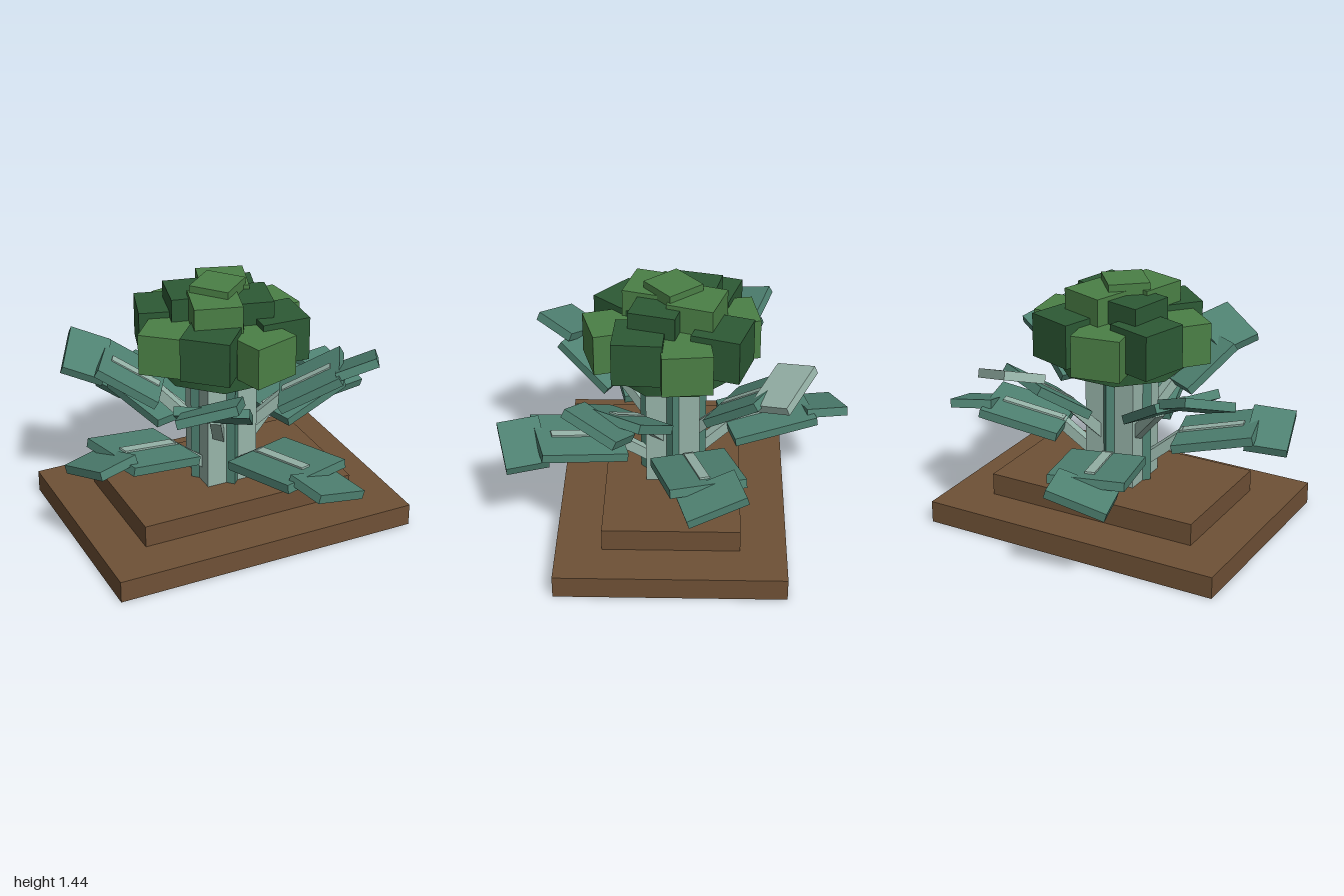
import * as THREE from 'three';

const mat = (name, color) => {
  const m = new THREE.MeshStandardMaterial({ color });
  m.name = name;
  return m;
};
const rad = THREE.MathUtils.degToRad;

export function createModel() {
  const soil = mat('soil brown', 0x6f5136);
  const pale = mat('pale stem', 0x98b5aa);
  const teal = mat('leaf teal', 0x4f8272);
  const light = mat('light green', 0x4b8046);
  const dark = mat('dark green', 0x2d5a35);

  const model = new THREE.Group();
  model.name = 'plant';

  const box = (parent, name, material, size, pos) => {
    const mesh = new THREE.Mesh(new THREE.BoxGeometry(...size), material);
    mesh.name = name;
    mesh.position.set(...pos);
    parent.add(mesh);
    return mesh;
  };

  // Beam lying between two points (radius, height) of a leaf's local xy plane
  const beam = (parent, name, material, [r0, y0], [r1, y1], thick, width) => {
    const length = Math.hypot(r1 - r0, y1 - y0);
    const mesh = box(parent, name, material, [length, thick, width], [(r0 + r1) / 2, (y0 + y1) / 2, 0]);
    mesh.rotation.z = Math.atan2(y1 - y0, r1 - r0);
    return mesh;
  };

  // Stepped soil base
  box(model, 'lowerSoil', soil, [1.78, 0.127, 1.27], [0, 0.0635, 0]);
  box(model, 'upperSoil', soil, [1.27, 0.128, 0.76], [0, 0.191, 0]);

  // Square stem with a diagonal rib on each face
  box(model, 'stem', pale, [0.3, 0.72, 0.3], [0, 0.6, 0]);
  for (let i = 0; i < 4; i++) {
    const a = (i * Math.PI) / 2;
    const rib = box(model, 'stemRib', teal, [0.05, 0.65, 0.05], [0.15 * Math.cos(a), 0.575, 0.15 * Math.sin(a)]);
    rib.rotation.y = Math.PI / 4;
  }

  // Leaves: local +x points outward; each has a stalk, blade, midrib and tip
  const addLeaf = (angle, o) => {
    const leaf = new THREE.Group();
    leaf.name = o.name;
    leaf.rotation.y = -rad(angle);
    model.add(leaf);
    const [r0, y0] = o.from, [r1, y1] = o.to;
    beam(leaf, 'stalk', pale, [0.1, o.root], [r0 + 0.04, y0 + 0.02], 0.06, 0.06);
    beam(leaf, 'blade', teal, o.from, o.to, 0.05, o.width);
    const along = (t) => [r0 + (r1 - r0) * t, y0 + (y1 - y0) * t + 0.026];
    beam(leaf, 'midrib', pale, along(0.02), along(0.82), 0.02, 0.055);
    const tip = box(leaf, 'leafTip', o.tipColor ?? teal, [0.24, 0.05, o.tipWidth], [...o.tip, 0]);
    tip.rotation.set(rad(o.roll), 0, rad(o.pitch));
  };
  const lowLeaf = { name: 'lowLeaf', root: 0.33, width: 0.42, tipWidth: 0.34, pitch: -4 };
  const highLeaf = { name: 'highLeaf', root: 0.51, width: 0.4, tipWidth: 0.33 };
  for (const turn of [0, 180]) {
    addLeaf(-15 + turn, { ...lowLeaf, from: [0.33, 0.53], to: [0.78, 0.63], tip: [0.845, 0.612], roll: 17 });
    addLeaf(75 + turn, { ...lowLeaf, from: [0.31, 0.497], to: [0.79, 0.565], tip: [0.865, 0.535], roll: -17 });
    addLeaf(30 + turn, { ...highLeaf, from: [0.34, 0.76], to: [0.67, 0.95], tip: [0.755, 0.955], roll: -17, pitch: 22 });
    addLeaf(120 + turn, {
      ...highLeaf, from: [0.32, 0.76], to: [0.63, 0.97], tip: [0.69, 1.0], roll: 17, pitch: 16,
      tipColor: turn ? pale : teal,
    });
  }

  // Crown core
  const core = new THREE.Mesh(new THREE.CylinderGeometry(0.37, 0.37, 0.22, 8), dark);
  core.name = 'crownCore';
  core.position.y = 1.05;
  core.rotation.y = Math.PI / 8;
  model.add(core);

  // Crown blocks: [x, z, turn in degrees], colours alternate
  const ring = (blocks, size, lightY, darkY) => blocks.forEach(([x, z, turn], i) => {
    const [y0, y1] = i % 2 ? darkY : lightY;
    const block = box(model, 'crownBlock', i % 2 ? dark : light, [size, y1 - y0, size], [x, (y0 + y1) / 2, z]);
    block.rotation.y = -rad(turn);
  });
  ring([
    [0.31, -0.07, -6], [0.25, 0.18, 3], [0.075, 0.33, -16], [-0.17, 0.25, 42],
    [-0.325, 0.04, 40], [-0.265, -0.21, 17], [-0.065, -0.32, -10], [0.185, -0.27, 18],
  ], 0.275, [1.01, 1.245], [1.03, 1.28]);
  ring([
    [0.07, -0.13, 18], [0.11, 0.08, 15], [-0.09, 0.115, 16], [-0.13, -0.11, 13],
  ], 0.265, [1.15, 1.4], [1.14, 1.375]);
  ring([[-0.02, 0, -40]], 0.23, [1.2, 1.44]);

  return model;
}
